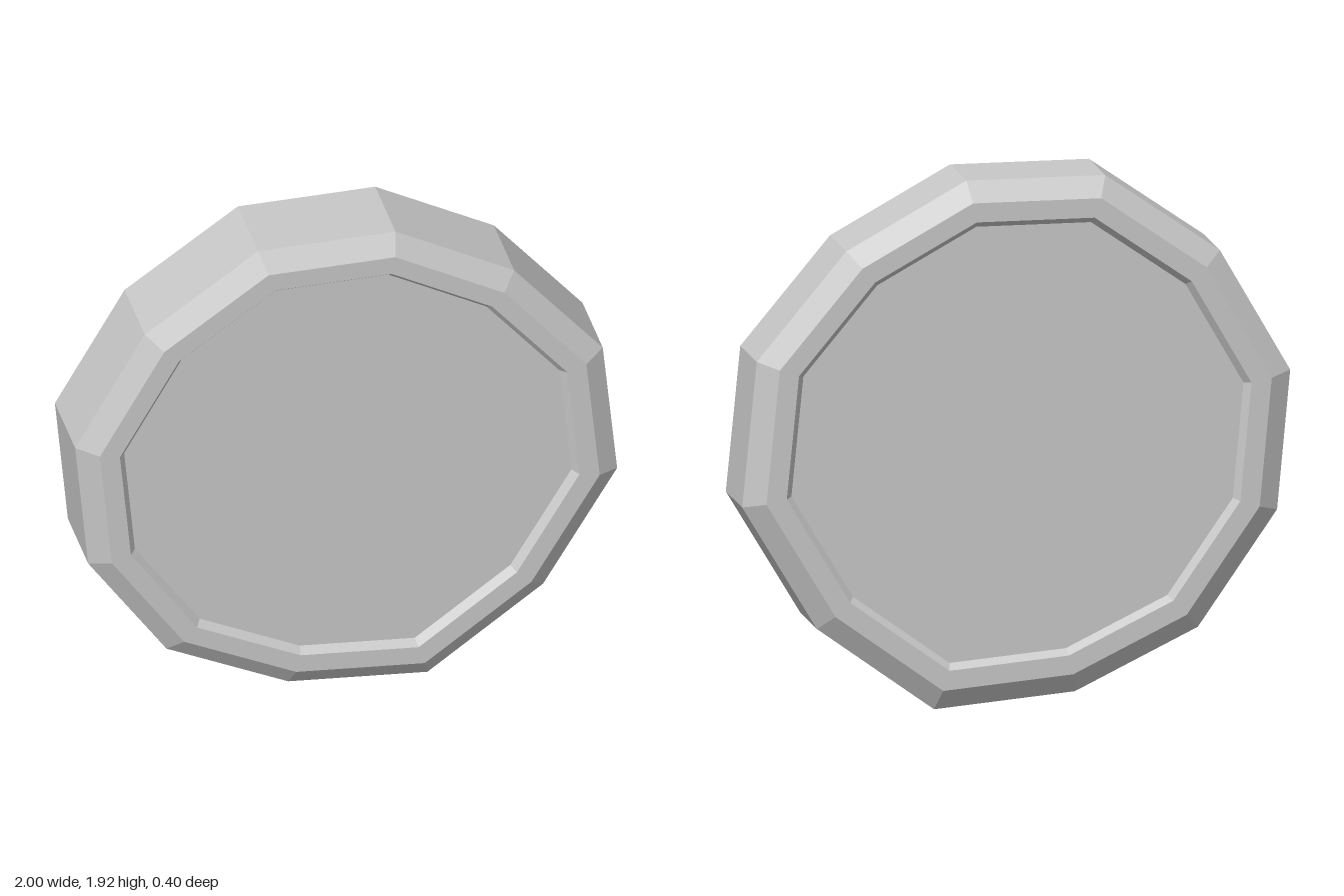
import * as THREE from 'three';

// Slightly irregular twelve-sided outline, clockwise seen from the front
const OUTLINE = [
  [-0.325, 1.925], [0.182, 1.925], [0.62, 1.684], [0.947, 1.294],
  [1.0, 0.765], [0.727, 0.31], [0.3, 0.0], [-0.214, 0.045],
  [-0.663, 0.262], [-0.952, 0.679], [-1.0, 1.187], [-0.743, 1.634],
];
const CENTER_Y = 0.98;

// Joins scaled copies of the outline; profile is [scale, z] from back to front
function loft(profile) {
  const point = (i, [s, z]) => {
    const [x, y] = OUTLINE[i % OUTLINE.length];
    return [x * s, CENTER_Y + (y - CENTER_Y) * s, z];
  };
  const positions = [];
  for (let k = 0; k < profile.length - 1; k++) {
    const back = profile[k], front = profile[k + 1];
    for (let i = 0; i < OUTLINE.length; i++) {
      const a = point(i, back), b = point(i + 1, back);
      const c = point(i + 1, front), d = point(i, front);
      if (front[0] > 0) positions.push(...d, ...c, ...b);
      if (back[0] > 0) positions.push(...d, ...b, ...a);
    }
  }
  const geometry = new THREE.BufferGeometry();
  geometry.setAttribute('position', new THREE.Float32BufferAttribute(positions, 3));
  geometry.computeVertexNormals();
  return geometry;
}

export function createModel() {
  const group = new THREE.Group();
  group.name = 'disc';
  const grey = new THREE.MeshStandardMaterial({ color: 0xc8c8c8, flatShading: true });
  grey.name = 'grey';

  const add = (name, profile) => {
    const mesh = new THREE.Mesh(loft(profile), grey);
    mesh.name = name;
    group.add(mesh);
  };

  const floor = [0.825, 0.17], lip = [0.848, 0.2], face = [0.922, 0.2], side = [1, 0.147];
  const flip = ([s, z]) => [s, -z];

  // Bevelled rim with a short sloping wall into each recess
  add('rim', [flip(floor), flip(lip), flip(face), flip(side), side, face, lip, floor]);
  // Flat recessed panels on both sides
  add('frontPanel', [floor, [0, 0.17]]);
  add('backPanel', [[0, -0.17], flip(floor)]);

  return group;
}
